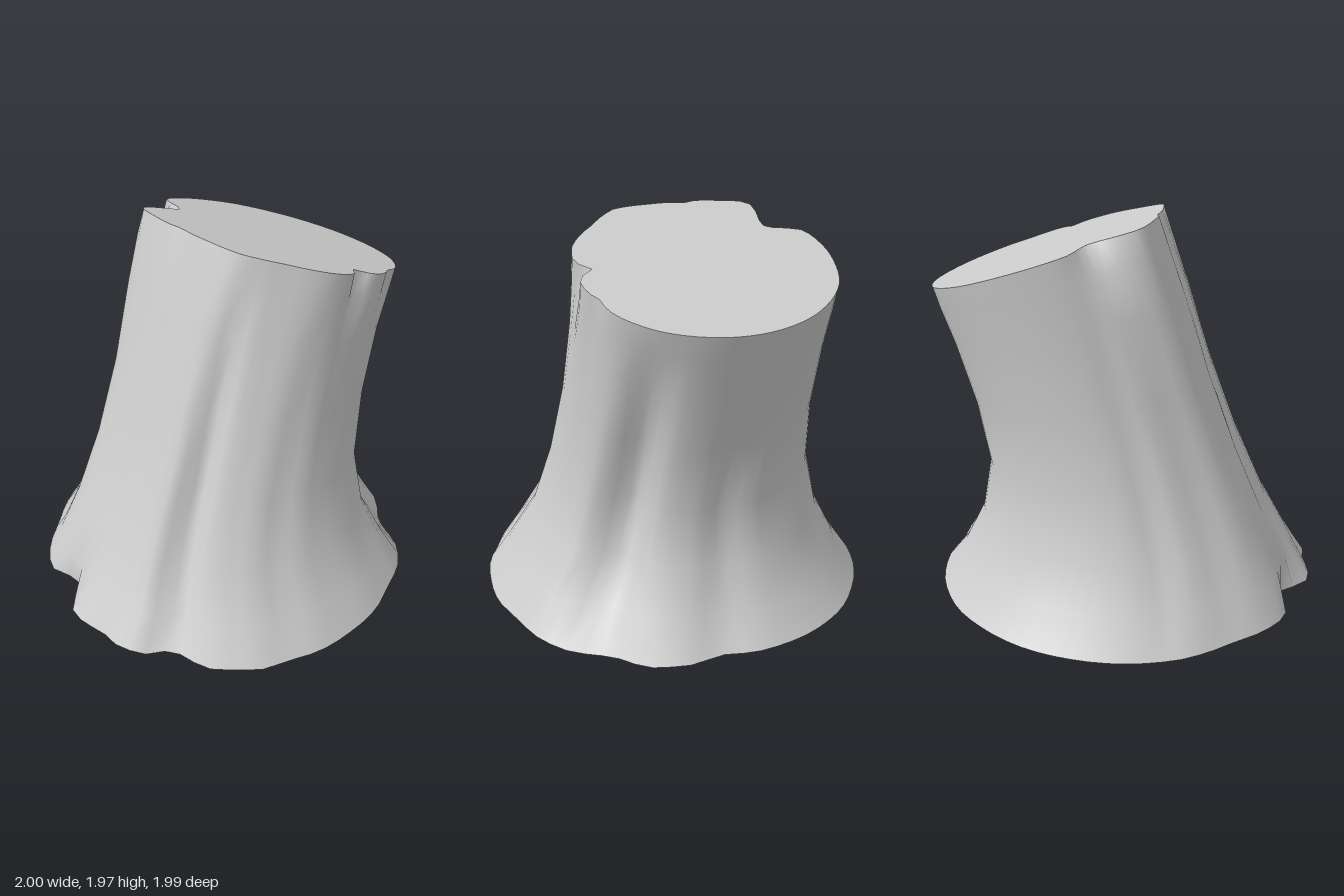
import * as THREE from 'three';

const SEG = 72;

// Outlines as [x, z], going round from +x towards +z
const BASE = [[1, 0], [.98, .22], [.92, .37], [.88, .5], [.78, .62], [.69, .71], [.48, .76], [.4, .9], [.13, .99], [-.07, .99],
  [-.25, .95], [-.41, .91], [-.6, .79], [-.72, .65], [-.9, .43], [-.99, .16], [-1, -.1], [-.95, -.35], [-.82, -.6], [-.7, -.75],
  [-.44, -.92], [-.15, -.99], [.04, -.96], [.13, -1], [.36, -.94], [.5, -.8], [.73, -.7], [.83, -.59], [.92, -.38], [.98, -.23]];
const TOP = [[.55, -.41], [.55, -.33], [.53, -.2], [.4, -.02], [.26, .13], [.08, .16], [-.05, .17], [-.28, .17], [-.45, .14],
  [-.59, -.03], [-.65, -.2], [-.68, -.35], [-.67, -.48], [-.62, -.65], [-.5, -.8], [-.3, -.93], [-.1, -.98], [.1, -.97],
  [.3, -.9], [.44, -.78], [.51, -.65], [.55, -.5]];

// Trunk sections: front y, front z, back y, back z, min x, max x, blend to top outline, groove, foot chip, rim chip strength
const LEVELS = [
  [.03, 1, .035, -1, -1, 1, 0, 0, 1, 0],
  [.2, .88, .18, -.89, -.89, .89, .25, .4, 0, 0],
  [.45, .74, .4, -.78, -.77, .74, .45, .8, 0, 0],
  [.8, .58, .68, -.73, -.69, .645, .6, 1, 0, 0],
  [1.2, .43, 1, -.79, -.66, .585, .7, .7, 0, 0],
  [1.6, .3, 1.32, -.885, -.665, .555, .85, .25, 0, .08],
  [1.84, .215, 1.5, -.95, -.675, .55, .95, .05, 0, .4],
  [1.97, .17, 1.6, -.98, -.68, .55, 1, 0, 0, 1],
];

// Long grooves, chips in the foot and chips in the rim: angle in degrees, half width, depth
const GROOVES = [[58, 10, .14], [-52, 16, .18], [92, 8, .03], [135, 9, .03], [156, 7, .05], [-95, 12, .04], [20, 10, .03]];
const FOOT_CHIPS = [[106, 12, .11], [82, 6, .03]];
const RIM_CHIPS = [[0, 8, .12], [140, 19, .27], [94, 7, .03], [-25, 8, .03]];

const dent = (list, deg) => list.reduce((sum, [at, width, depth]) => {
  const d = Math.abs(((deg - at + 540) % 360) - 180) / width;
  return sum + (d < 1 ? depth * (1 + Math.cos(Math.PI * d)) / 2 : 0);
}, 0);

// Radius of an outline, scaled to a unit box, as a function of angle
function radiusOf(outline, cx, cz, hx, hz) {
  const polar = outline.map(([x, z]) => {
    const u = (x - cx) / hx, w = (z - cz) / hz;
    return [(Math.atan2(w, u) + 2 * Math.PI) % (2 * Math.PI), Math.hypot(u, w)];
  }).sort((a, b) => a[0] - b[0]);
  const last = polar[polar.length - 1], first = polar[0];
  polar.unshift([last[0] - 2 * Math.PI, last[1]]);
  polar.push([first[0] + 2 * Math.PI, first[1]]);
  return (a) => {
    const i = polar.findIndex((p) => p[0] > a);
    const [a0, r0] = polar[i - 1], [a1, r1] = polar[i];
    return THREE.MathUtils.lerp(r0, r1, (a - a0) / (a1 - a0));
  };
}

const baseRadius = radiusOf(BASE, 0, 0, 1, 1);
const topRadius = radiusOf(TOP, -.065, -.405, .615, .575);

function ring([fy, fz, by, bz, x0, x1, blend, groove, foot, rim]) {
  const points = [];
  for (let i = 0; i < SEG; i++) {
    const a = i / SEG * Math.PI * 2, deg = i / SEG * 360;
    const r = THREE.MathUtils.lerp(baseRadius(a), topRadius(a), blend)
      - groove * dent(GROOVES, deg) - foot * dent(FOOT_CHIPS, deg) - rim * dent(RIM_CHIPS, deg);
    const u = r * Math.cos(a), w = r * Math.sin(a);
    // The foot dips towards one back root
    const y = THREE.MathUtils.lerp(by, fy, (w + 1) / 2) - foot * dent([[-59, 35, .033]], deg);
    points.push([(x0 + x1) / 2 + u * (x1 - x0) / 2, y, (fz + bz) / 2 + w * (fz - bz) / 2]);
  }
  return points;
}

function geometryFrom(points, index) {
  const g = new THREE.BufferGeometry();
  g.setAttribute('position', new THREE.Float32BufferAttribute(points.flat(), 3));
  g.setIndex(index);
  g.computeVertexNormals();
  return g;
}

// Fan from the middle of a ring
function cap(points, up) {
  const centre = [0, 1, 2].map((k) => points.reduce((s, p) => s + p[k], 0) / SEG);
  const index = [];
  for (let i = 0; i < SEG; i++) {
    const j = (i + 1) % SEG;
    index.push(SEG, ...(up ? [j, i] : [i, j]));
  }
  return geometryFrom([...points, centre], index);
}

export function createModel() {
  const group = new THREE.Group();
  group.name = 'treeStump';
  const material = new THREE.MeshStandardMaterial({ color: 0xcccccc });
  const add = (name, geometry) => {
    const mesh = new THREE.Mesh(geometry, material);
    mesh.name = name;
    group.add(mesh);
  };

  const rings = LEVELS.map(ring);

  // Bark: quads between neighbouring rings
  const index = [];
  for (let l = 0; l < rings.length - 1; l++) {
    for (let i = 0; i < SEG; i++) {
      const j = (i + 1) % SEG;
      const a = l * SEG + i, b = l * SEG + j, c = b + SEG, d = a + SEG;
      index.push(a, d, b, b, d, c);
    }
  }
  add('bark', geometryFrom(rings.flat(), index));

  // Sloping cut and underside
  add('cutTop', cap(rings[rings.length - 1], true));
  add('underside', cap(rings[0], false));
  return group;
}
